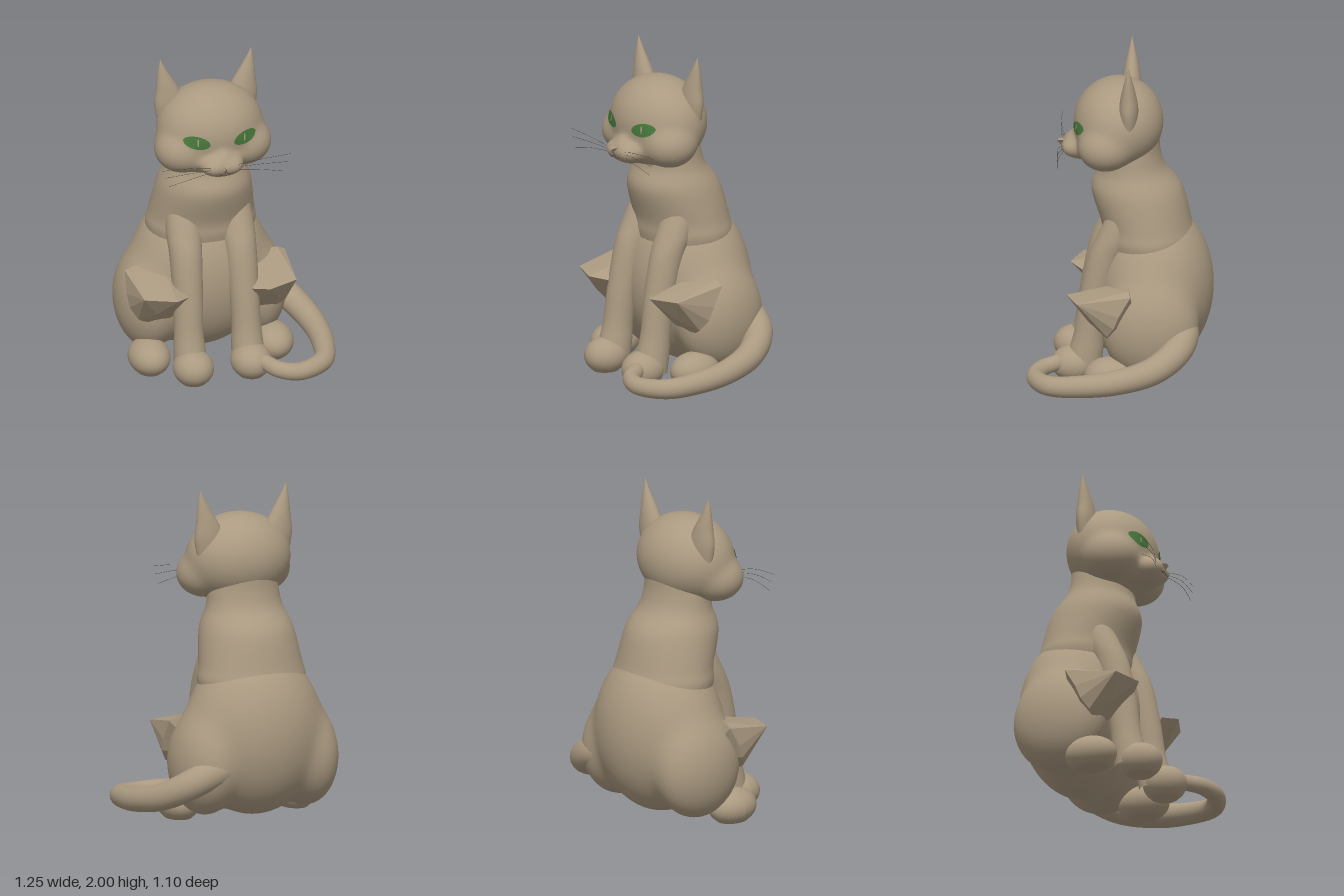
import * as THREE from 'three';
import { ConvexGeometry } from 'three/addons/geometries/ConvexGeometry.js';

const material = (name, color, side = THREE.FrontSide) => {
  const m = new THREE.MeshStandardMaterial({ color, side });
  m.name = name;
  return m;
};

function indexed(pos, index) {
  const g = new THREE.BufferGeometry();
  g.setAttribute('position', new THREE.Float32BufferAttribute(pos, 3));
  g.setIndex(index);
  g.computeVertexNormals();
  return g;
}

// Closed skin of (rows + 1) rings, bottom to top, from point(row, angle)
function skin(rows, cols, point) {
  const pos = [], index = [];
  for (let i = 0; i <= rows; i++) for (let j = 0; j < cols; j++) {
    pos.push(...point(i, (j / cols) * Math.PI * 2));
    if (i === rows) continue;
    const p = i * cols + j, q = i * cols + (j + 1) % cols;
    index.push(p, p + cols, q, q, p + cols, q + cols);
  }
  return indexed(pos, index);
}

// Smooth skin over elliptical rings [x, y, z, rx, rz], listed bottom to top
function loft(rings, steps = 8) {
  const at = (n) => rings[Math.max(0, Math.min(rings.length - 1, n))];
  return skin((rings.length - 1) * steps, 40, (i, angle) => {
    const k = Math.min(Math.floor(i / steps), rings.length - 2);
    const t = i / steps - k;
    const [x, y, z, rx, rz] = rings[0].map((_, c) => {
      const a = at(k - 1)[c], b = at(k)[c], d = at(k + 1)[c], e = at(k + 2)[c];
      return b + 0.5 * t * (d - a + t * (2 * a - 5 * b + 4 * d - e + t * (3 * (b - d) + e - a)));
    });
    return [x + Math.max(rx, 0) * Math.cos(angle), y, z + Math.max(rz, 0) * Math.sin(angle)];
  });
}

// Distance from o along d to the surface of softly joined ellipsoids [x, y, z, rx, ry, rz]
function cast({ parts, soft }, o, d) {
  let lo = 0, hi = 0.9;
  for (let i = 0; i < 24; i++) {
    const t = (lo + hi) / 2;
    const [x, y, z] = o.map((v, k) => v + d[k] * t);
    const sum = parts.reduce((total, [cx, cy, cz, rx, ry, rz]) => {
      const e = Math.hypot((x - cx) / rx, (y - cy) / ry, (z - cz) / rz) - 1;
      return total + Math.exp(-e * Math.min(rx, ry, rz) / soft);
    }, 0);
    if (sum > 1) lo = t;
    else hi = t;
  }
  return lo;
}

// One smooth mesh around softly joined ellipsoids, seen from an inner point
const blend = (shape, o) => skin(72, 96, (i, b) => {
  const a = (i / 72 - 0.5) * Math.PI;
  const d = [Math.cos(a) * Math.cos(b), Math.sin(a), Math.cos(a) * Math.sin(b)];
  const t = cast(shape, o, d);
  return o.map((v, k) => v + d[k] * t);
});

const HEAD = {
  soft: 0.014,
  parts: [
    [0, 1.565, 0.02, 0.322, 0.267, 0.267],  // skull
    [0, 1.43, 0.11, 0.24, 0.12, 0.16],      // jaw
    [0, 1.385, 0.25, 0.08, 0.05, 0.07],     // chin
    [0, 1.45, 0.25, 0.06, 0.06, 0.08],      // nose bridge
    ...[1, -1].flatMap((s) => [
      [s * 0.2, 1.465, 0.09, 0.157, 0.14, 0.162],   // cheek
      [s * 0.055, 1.415, 0.28, 0.07, 0.055, 0.075], // muzzle pad
    ]),
  ],
};
const HAUNCHES = {
  soft: 0.025,
  parts: [
    [0, 0.54, -0.19, 0.42, 0.505, 0.358],   // belly
    [0.335, 0.37, -0.18, 0.187, 0.31, 0.285], // thighs
    [-0.335, 0.37, -0.18, 0.187, 0.31, 0.285],
  ],
};

// Almond patch laid on the face
function almond(cx, cy, halfW, halfH, tilt, lift) {
  const n = 18, m = 6, pos = [], index = [];
  for (let i = 0; i <= n; i++) for (let j = 0; j <= m; j++) {
    const u = (i / n) * 2 - 1, v = ((j / m) * 2 - 1) * Math.pow(1 - u * u, 0.6);
    const x = cx + u * halfW * Math.cos(tilt) - v * halfH * Math.sin(tilt);
    const y = cy + u * halfW * Math.sin(tilt) + v * halfH * Math.cos(tilt);
    pos.push(x, y, 0.05 + cast(HEAD, [x, y, 0.05], [0, 0, 1]) + lift);
    if (i < n && j < m) {
      const a = i * (m + 1) + j, b = a + m + 1;
      index.push(a, b, a + 1, a + 1, b, b + 1);
    }
  }
  return indexed(pos, index);
}

export function createModel() {
  const fur = material('fur', 0xab9a81);
  const green = material('eye green', 0x48783c, THREE.DoubleSide);
  const dark = material('dark line', 0x4a4136);
  const root = new THREE.Group();
  root.name = 'sittingCat';
  const cat = new THREE.Group();
  cat.name = 'body';
  cat.position.x = -0.1;
  root.add(cat);

  const add = (name, geometry, mat = fur, parent = cat) => {
    const mesh = new THREE.Mesh(geometry, mat);
    mesh.name = name;
    parent.add(mesh);
    return mesh;
  };
  // Paw: ellipsoid with a flat sole on the ground
  const paw = (name, x, z, rx, rz) => {
    const g = new THREE.SphereGeometry(1, 32, 24).scale(rx, 0.11, rz).translate(x, 0.09, z);
    const p = g.attributes.position;
    for (let i = 0; i < p.count; i++) if (p.getY(i) < 0.01) p.setY(i, 0);
    g.computeVertexNormals();
    add(name, g);
  };
  const vectors = (points, s = 1) => points.map(([x, y, z]) => new THREE.Vector3(s * x, y, z));
  const line = (name, points, radius) => add(name,
    new THREE.TubeGeometry(new THREE.CatmullRomCurve3(vectors(points)), 10, radius, 5), dark);

  add('haunches', blend(HAUNCHES, [0, 0.45, -0.18]));
  add('chestAndNeck', loft([
    [0, 0.7, -0.17, 0.3, 0.25],
    [0, 0.85, -0.16, 0.335, 0.275],
    [0, 0.95, -0.145, 0.32, 0.27],
    [0, 1.15, -0.09, 0.285, 0.272],
    [0, 1.28, -0.06, 0.235, 0.205],
    [0, 1.38, -0.045, 0.22, 0.187],
    [0, 1.48, -0.04, 0.21, 0.185],
  ]));
  add('head', blend(HEAD, [0, 1.48, 0.06]));

  for (const s of [1, -1]) {
    const side = s > 0 ? 'left' : 'right';

    add(side + 'Ear', loft([
      [s * 0.2, 1.58, -0.05, 0.1, 0.05],
      [s * 0.22, 1.7, -0.05, 0.1, 0.058],
      [s * 0.24, 1.8, -0.05, 0.07, 0.048],
      [s * 0.268, 1.91, -0.05, 0.032, 0.024],
      [s * 0.285, 2, -0.05, 0, 0],
    ]));

    add(side + 'Eye', almond(s * 0.15, 1.567, 0.079, 0.041, s * 0.2, 0.006), green);
    add(side + 'Pupil', almond(s * 0.145, 1.57, 0.026, 0.005, Math.PI / 2, 0.009));

    // Whiskers
    [[1.43, 1.47], [1.415, 1.42], [1.4, 1.36]].forEach(([y0, y1], i) =>
      line(side + 'Whisker' + (i + 1), [
        [s * 0.08, y0, 0.34],
        [s * 0.22, (y0 + y1) / 2 + 0.012, 0.372],
        [s * (0.4 - i * 0.02), y1, 0.37],
      ], 0.001));
    line(side + 'Lip', [[0, 1.4, 0.354], [s * 0.02, 1.385, 0.359], [s * 0.045, 1.388, 0.357]], 0.0018);

    // Front leg
    add(side + 'FrontLeg', loft([
      [s * 0.18, 0.06, 0.23, 0.1, 0.11],
      [s * 0.18, 0.18, 0.205, 0.095, 0.102],
      [s * 0.18, 0.3, 0.185, 0.088, 0.092],
      [s * 0.175, 0.5, 0.155, 0.09, 0.094],
      [s * 0.17, 0.75, 0.095, 0.098, 0.104],
      [s * 0.165, 0.9, 0.03, 0.105, 0.108],
      [s * 0.15, 1.08, -0.04, 0.1, 0.09],
    ]));
    paw(side + 'FrontPaw', s * 0.18, 0.28, 0.122, 0.135);
    paw(side + 'HindPaw', s * 0.385, 0.05, 0.125, 0.16);

    // Angular knee, pointed at the front and rounded below
    add(side + 'Knee', new ConvexGeometry(vectors([
      [0.2, 0.545, 0.25], [0.29, 0.56, 0.32], [0.475, 0.565, 0.25],
      [0.28, 0.645, -0.05], [0.45, 0.645, -0.06], [0.5, 0.62, -0.07],
      [0.51, 0.5, 0], [0.5, 0.42, 0.03],
      [0.255, 0.45, 0.18], [0.26, 0.36, 0.11], [0.31, 0.325, 0.075],
      [0.4, 0.32, 0.07], [0.46, 0.355, 0.07], [0.38, 0.43, 0.19],
      [0.3, 0.4, -0.1],
    ], s)));
  }

  // Nose and the line below it
  add('nose', new ConvexGeometry(vectors([
    [-0.025, 1.445, 0.345], [0.025, 1.445, 0.345], [0, 1.415, 0.345],
    [-0.015, 1.442, 0.38], [0.015, 1.442, 0.38], [0, 1.425, 0.385],
  ])));
  line('philtrum', [[0, 1.42, 0.37], [0, 1.41, 0.362], [0, 1.4, 0.354]], 0.0018);

  // Tail sweeping round the left side to the front paw
  const path = new THREE.CatmullRomCurve3(vectors([
    [0.15, 0.38, -0.36], [0.28, 0.34, -0.38], [0.4, 0.275, -0.34], [0.5, 0.195, -0.21],
    [0.555, 0.14, 0], [0.55, 0.108, 0.22], [0.485, 0.088, 0.415],
    [0.31, 0.082, 0.5], [0.2, 0.095, 0.465], [0.14, 0.11, 0.38],
  ]));
  const N = 80, R = 20;
  const tail = new THREE.TubeGeometry(path, N, 1, R);
  const tp = tail.attributes.position, v = new THREE.Vector3();
  for (let i = 0; i <= N; i++) {
    const c = path.getPointAt(i / N);
    const r = 0.048 + 0.052 * Math.pow(1 - i / N, 1.1);
    for (let j = 0; j <= R; j++) {
      const k = i * (R + 1) + j;
      v.fromBufferAttribute(tp, k).sub(c).multiplyScalar(r).add(c);
      tp.setXYZ(k, v.x, v.y, v.z);
    }
  }
  add('tail', tail, fur, root);
  const tip = add('tailTip', new THREE.SphereGeometry(0.048, 20, 14), fur, root);
  tip.position.copy(path.getPointAt(1));

  return root;
}
